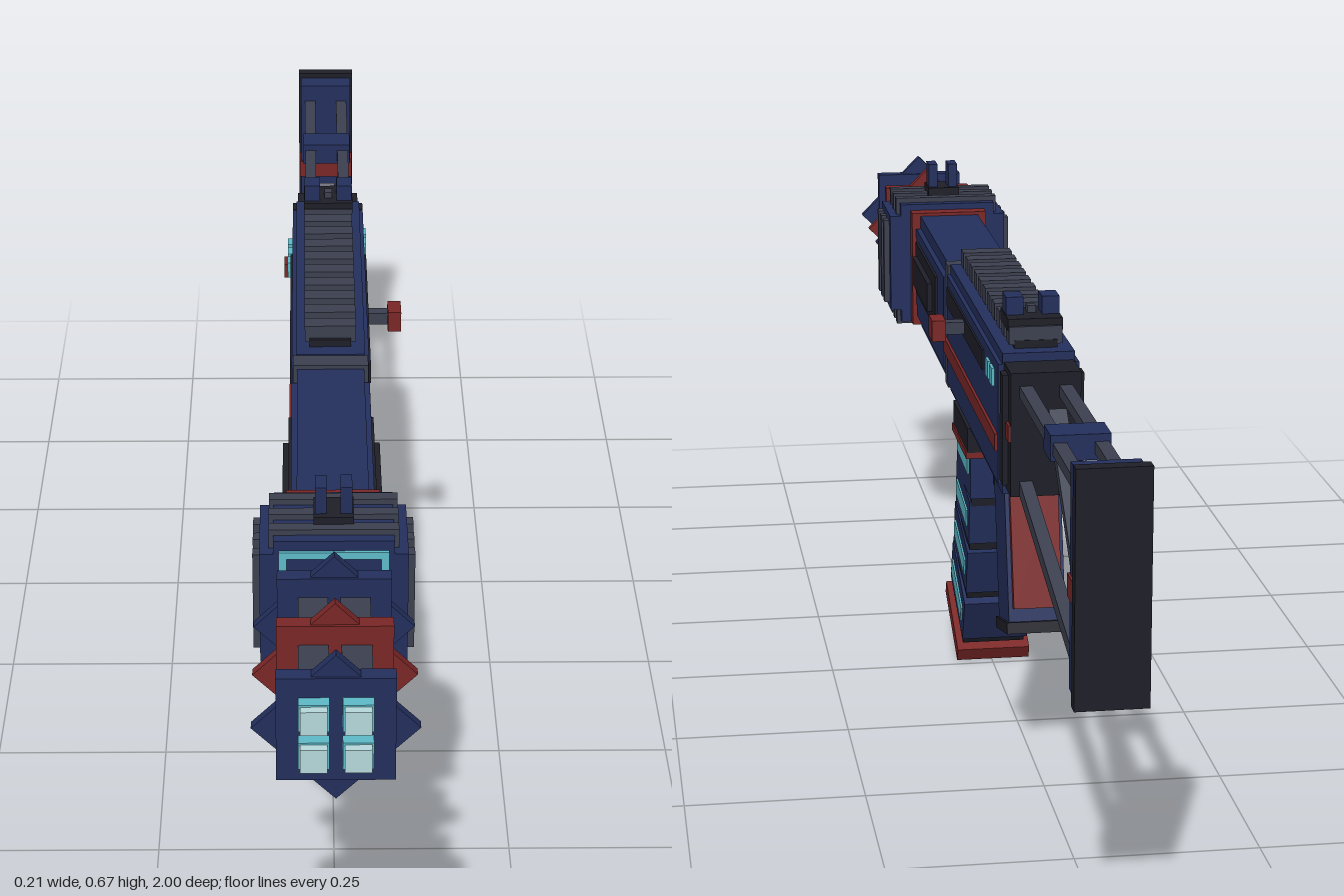
import * as THREE from 'three';

const mat = (name, color) => {
  const m = new THREE.MeshStandardMaterial({ color });
  m.name = name;
  return m;
};

export function createModel() {
  const navy = mat('navy', 0x24305e), dark = mat('charcoal', 0x1e1f28), grey = mat('steel grey', 0x3d4050);
  const red = mat('dark red', 0x7c2727), teal = mat('teal glow', 0x5fbccb), pale = mat('pale glow', 0xb8dadd);
  const model = new THREE.Group();
  model.name = 'rifle';

  // Box given by its extents
  const box = (name, m, [x0, x1], [y0, y1], [z0, z1], parent = model) => {
    const mesh = new THREE.Mesh(new THREE.BoxGeometry(x1 - x0, y1 - y0, z1 - z0), m);
    mesh.position.set((x0 + x1) / 2, (y0 + y1) / 2, (z0 + z1) / 2);
    mesh.name = name;
    parent.add(mesh);
    return mesh;
  };
  const sym = (name, m, w, y, z, parent) => box(name, m, [-w, w], y, z, parent);
  // Same box on both sides of the centre plane
  const pair = (name, m, [x0, x1], y, z, parent) => {
    box(name + 'Left', m, [x0, x1], y, z, parent);
    box(name + 'Right', m, [-x1, -x0], y, z, parent);
  };
  // Square bar between two points of the z-y plane
  const bar = (name, m, x, [za, ya], [zb, yb], w, t) => {
    const mesh = new THREE.Mesh(new THREE.BoxGeometry(w, t, Math.hypot(zb - za, yb - ya)), m);
    mesh.position.set(x, (ya + yb) / 2, (za + zb) / 2);
    mesh.rotation.x = -Math.atan2(yb - ya, zb - za);
    mesh.name = name;
    model.add(mesh);
  };
  const tilted = (name, y, z, angle) => {
    const g = new THREE.Group();
    g.name = name;
    g.position.set(0, y, z);
    g.rotation.x = angle;
    model.add(g);
    return g;
  };
  const cy = 0.513;

  // Barrel cluster with glowing muzzles
  sym('barrelCore', navy, 0.02, [cy - 0.02, cy + 0.02], [0.67, 0.96]);
  for (const sx of [-1, 1]) for (const sy of [-1, 1]) {
    const x = sx * 0.027, y = cy + sy * 0.027;
    const sq = (name, m, h, z) => box(name, m, [x - h, x + h], [y - h, y + h], z);
    sq('barrel', grey, 0.019, [0.67, 0.96]);
    sq('muzzleRim', teal, 0.019, [0.96, 0.988]);
    sq('muzzleGlow', pale, 0.0165, [0.988, 1]);
  }

  // Eight-pointed barrel discs: two crossed square plates
  for (const [z, m] of [[0.96, navy], [0.84, red], [0.725, navy]]) {
    for (const [angle, t] of [[0, 0.022], [Math.PI / 4, 0.014]]) {
      const plate = new THREE.Mesh(new THREE.BoxGeometry(0.146, 0.146, t), m);
      plate.position.set(0, cy, z);
      plate.rotation.z = angle;
      plate.name = 'starDisc';
      model.add(plate);
    }
  }

  // Finned muzzle housing
  sym('housingTall', navy, 0.078, [0.412, 0.612], [0.555, 0.685]);
  sym('housingWide', navy, 0.096, [0.432, 0.593], [0.555, 0.685]);
  for (const z of [0.58, 0.62, 0.66]) {
    sym('finTall', grey, 0.084, [0.405, 0.62], [z - 0.009, z + 0.009]);
    sym('finWide', grey, 0.105, [0.443, 0.583], [z - 0.009, z + 0.009]);
  }
  for (const y of [0.43, 0.588]) sym('glowFrame', teal, 0.071, [y, y + 0.01], [0.684, 0.69]);
  pair('glowFrameSide', teal, [0.061, 0.071], [0.44, 0.588], [0.684, 0.69]);
  sym('redCollar', red, 0.062, [0.412, 0.602], [0.53, 0.556]);

  // Front sight
  sym('frontSightBase', dark, 0.026, [0.61, 0.63], [0.6, 0.655]);
  pair('frontSightPost', navy, [0.009, 0.024], [0.63, 0.668], [0.61, 0.645]);

  // Handguard
  sym('handguard', navy, 0.048, [0.41, 0.597], [0.16, 0.53]);
  sym('handguardSides', navy, 0.056, [0.43, 0.577], [0.165, 0.525]);
  sym('handguardPanel', dark, 0.06, [0.475, 0.56], [0.24, 0.5]);
  sym('handguardGrip', dark, 0.068, [0.495, 0.54], [0.28, 0.48]);
  sym('handguardRail', dark, 0.034, [0.394, 0.412], [0.22, 0.49]);
  sym('handguardCollar', grey, 0.054, [0.41, 0.603], [0.128, 0.162]);

  // Receiver
  sym('receiver', navy, 0.05, [0.405, 0.605], [-0.425, 0.13]);
  sym('receiverSides', navy, 0.056, [0.42, 0.59], [-0.425, 0.125]);
  sym('receiverStripe', red, 0.06, [0.466, 0.49], [-0.42, 0.135]);
  sym('receiverSlot', dark, 0.059, [0.546, 0.575], [-0.285, 0.105]);
  box('boltHandle', grey, [0.05, 0.092], [0.552, 0.57], [-0.1, -0.08]);
  box('boltKnob', red, [0.088, 0.108], [0.545, 0.576], [-0.112, -0.07]);
  for (const z of [-0.375, -0.338]) box('statusLight', teal, [0.055, 0.06], [0.55, 0.575], [z - 0.013, z + 0.013]);
  for (const z of [-0.38, -0.345, -0.31]) box('statusLight', teal, [-0.064, -0.055], [0.53, 0.555], [z - 0.012, z + 0.012]);
  box('selector', red, [-0.07, -0.055], [0.497, 0.52], [-0.4, -0.37]);

  // Top rail and rear sight
  sym('topRail', dark, 0.03, [0.6, 0.616], [-0.4, 0.105]);
  for (let i = 0; i < 11; i++) {
    const z = 0.085 - i * 0.047;
    sym('railTooth', grey, 0.037, [0.61, 0.635], [z - 0.014, z + 0.014]);
  }
  sym('rearSightBase', dark, 0.038, [0.628, 0.645], [-0.395, -0.325]);
  pair('rearSightPost', navy, [0.013, 0.037], [0.64, 0.67], [-0.37, -0.335]);
  sym('rearSightNotch', grey, 0.006, [0.645, 0.655], [-0.36, -0.345]);

  // Receiver end block
  sym('endBlock', dark, 0.048, [0.42, 0.593], [-0.488, -0.425]);
  sym('endBlockRing', dark, 0.056, [0.43, 0.585], [-0.465, -0.44]);
  pair('endBlockMark', red, [0.044, 0.0515], [0.497, 0.52], [-0.487, -0.455]);

  // Folding stock
  for (const x of [-0.027, 0.027]) {
    bar('upperStockTube', grey, x, [-0.485, 0.567], [-0.945, 0.567], 0.018, 0.016);
    bar('lowerStockTube', grey, x, [-0.485, 0.432], [-0.945, 0.337], 0.018, 0.02);
  }
  bar('stockBrace', grey, 0, [-0.58, 0.563], [-0.83, 0.363], 0.024, 0.016);
  sym('stockSleeve', navy, 0.039, [0.551, 0.585], [-0.765, -0.712]);
  sym('stockPlate', navy, 0.043, [0.313, 0.603], [-0.982, -0.94]);
  sym('stockBand', red, 0.046, [0.433, 0.462], [-0.979, -0.937]);
  sym('buttPad', dark, 0.047, [0.305, 0.611], [-1, -0.98]);

  // Magazine well and curved magazine
  sym('magazineWell', dark, 0.055, [0.37, 0.408], [-0.1, 0.06]);
  sym('magazineCollar', red, 0.057, [0.361, 0.372], [-0.1, 0.062]);
  const sections = [[0.332, -0.02, 0.04, 0.033], [0.265, -0.006, 0.14, 0.035], [0.185, 0.02, 0.26, 0.036], [0.103, 0.056, 0.4, 0.036]];
  sections.forEach(([y, z, a, h], i) => {
    const g = tilted('magazineSection', y, z, -a);
    sym('sectionBody', navy, 0.05, [-h, h], [-0.075, 0.075], g);
    sym('sectionJoint', dark, 0.0475, [-h - 0.014, -h + 0.005], [-0.068, 0.068], g);
    const up = i === 0 ? 0.014 : 0;
    sym('sideGlow', teal, 0.0525, [up - 0.013, up + 0.013], [-0.058, 0.058], g);
    sym('frontGlow', pale, 0.014, [up - 0.018, Math.min(up + 0.018, h)], [0.07, 0.078], g);
  });
  const base = tilted('magazineBase', 0.043, 0.083, -0.44);
  sym('basePlate', red, 0.056, [-0.011, 0.011], [-0.077, 0.077], base);

  // Trigger and guard
  sym('guardFront', dark, 0.018, [0.325, 0.41], [-0.123, -0.111]);
  sym('guardBottom', dark, 0.018, [0.325, 0.338], [-0.295, -0.111]);
  bar('trigger', grey, 0, [-0.19, 0.41], [-0.205, 0.36], 0.014, 0.014);

  // Pistol grip
  const grip = tilted('grip', 0.305, -0.349, 0.25);
  sym('gripBody', navy, 0.04, [-0.11, 0.13], [-0.048, 0.052], grip);
  sym('gripBackstrap', red, 0.034, [-0.085, 0.1], [-0.06, -0.046], grip);
  sym('gripCap', dark, 0.044, [-0.12, -0.104], [-0.056, 0.056], grip);

  model.position.x = -0.002;
  const root = new THREE.Group();
  root.add(model);
  return root;
}
